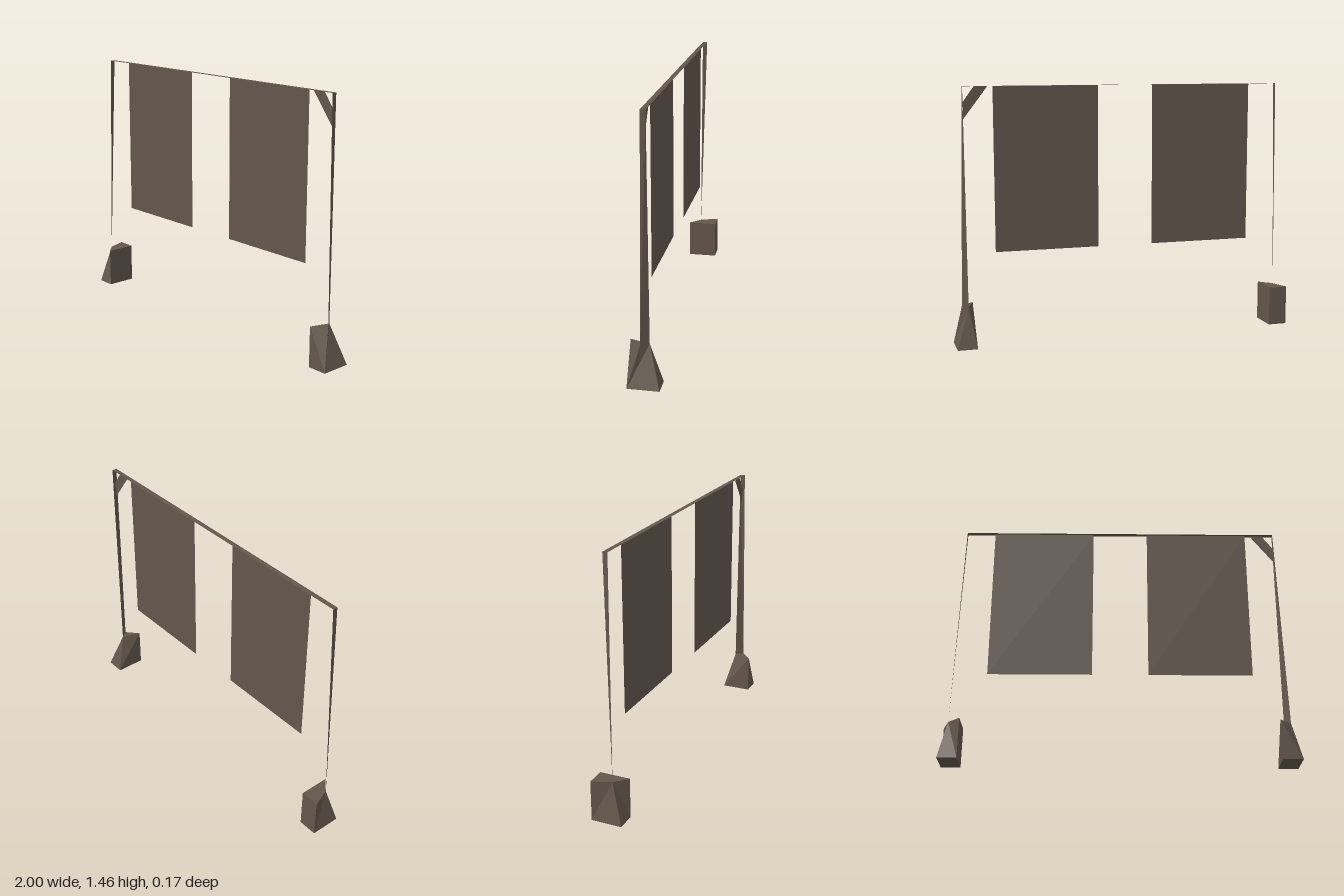
import * as THREE from 'three';

const material = new THREE.MeshStandardMaterial({ color: 0x62564c, side: THREE.DoubleSide });
material.name = 'dark brown';

// Flat-faced mesh from corner points and quads, each split along its first diagonal
function quadMesh(name, points, quads) {
  const pos = [];
  for (const [a, b, c, d] of quads) {
    for (const tri of [[a, b, c], [a, c, d]]) {
      const [p, q, r] = tri.map(i => new THREE.Vector3(...points[i]));
      if (p.equals(q) || q.equals(r) || r.equals(p)) continue;
      for (const v of [p, q, r]) pos.push(v.x, v.y, v.z);
    }
  }
  const geometry = new THREE.BufferGeometry();
  geometry.setAttribute('position', new THREE.Float32BufferAttribute(pos, 3));
  geometry.computeVertexNormals();
  const mesh = new THREE.Mesh(geometry, material);
  mesh.name = name;
  return mesh;
}

const sheet = (name, points) => quadMesh(name, points, [[0, 1, 2, 3]]);

const TOP = 1.46, BASE = 0.23, DEPTH = 0.087, BAR_X = 0.93, BAR_Z = 0.014;

// Foot block whose top corners are pulled in toward the post
function foot(name, x0, x1, topCorners) {
  const bottom = [[x0, DEPTH], [x1, DEPTH], [x1, -DEPTH], [x0, -DEPTH]];
  const points = [
    ...bottom.map(([x, z]) => [x, 0, z]),
    ...topCorners.map(([x, z]) => [x, BASE, z]),
  ];
  return quadMesh(name, points, [
    [1, 5, 4, 0], [1, 2, 6, 5], [2, 3, 7, 6], [3, 0, 4, 7], [4, 5, 6, 7], [0, 3, 2, 1],
  ]);
}

export function createModel() {
  const group = new THREE.Group();
  group.name = 'bannerFrame';

  // Feet
  const leftOuter = [0.957, 0.022], leftInner = [0.925, -0.022], rightPin = [-0.96, 0.022];
  group.add(foot('leftFoot', 0.887, 1, [[0.887, DEPTH], leftOuter, leftInner, leftInner]));
  group.add(foot('rightFoot', -1, -0.89, [rightPin, [-0.89, DEPTH], [-0.89, -DEPTH], [-1, -DEPTH]]));

  // Posts: twisted thin sheets rising from the feet to the bar
  const post = (name, x, front, back) => sheet(name, [
    [front[0], BASE, front[1]], [back[0], BASE, back[1]], [x, TOP, -BAR_Z], [x, TOP, BAR_Z],
  ]);
  group.add(post('leftPost', BAR_X, leftOuter, leftInner));
  group.add(post('rightPost', -BAR_X, rightPin, rightPin));

  // Flat top bar
  group.add(sheet('topBar', [
    [-BAR_X, TOP, BAR_Z], [BAR_X, TOP, BAR_Z], [BAR_X, TOP, -BAR_Z], [-BAR_X, TOP, -BAR_Z],
  ]));

  // Hanging banners
  for (const side of [1, -1]) {
    const banner = new THREE.Mesh(new THREE.PlaneGeometry(0.6, TOP - 0.53), material);
    banner.position.set(side * 0.462, (TOP + 0.53) / 2, 0);
    banner.name = side > 0 ? 'leftBanner' : 'rightBanner';
    group.add(banner);
  }

  // Corner brace
  group.add(sheet('cornerBrace', [
    [0.79, TOP, 0], [0.927, 1.28, 0], [0.927, 1.375, 0], [0.865, TOP, 0],
  ]));

  return group;
}
